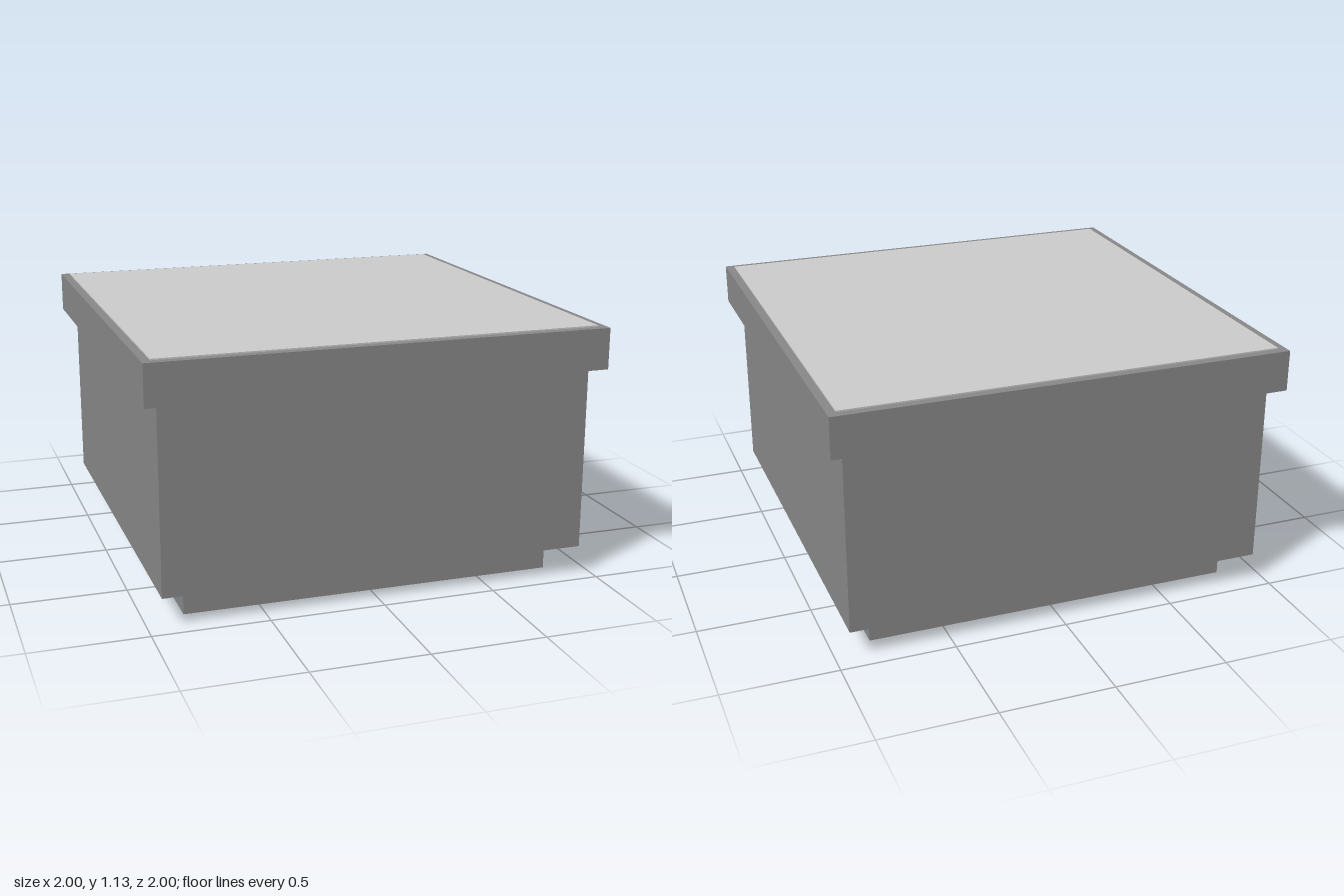
import * as THREE from 'three';

export function createModel() {
  const group = new THREE.Group();
  const dark = new THREE.MeshStandardMaterial({ color: 0x888888 });
  const light = new THREE.MeshStandardMaterial({ color: 0xcccccc });

  // Square slab between two heights
  function slab(name, width, bottom, top, material) {
    const mesh = new THREE.Mesh(new THREE.BoxGeometry(width, top - bottom, width), material);
    mesh.position.y = (bottom + top) / 2;
    mesh.name = name;
    group.add(mesh);
  }

  slab('plinth', 1.655, 0, 0.13, dark);
  slab('body', 1.88, 0.13, 0.945, dark);
  slab('rim', 2, 0.945, 1.125, dark);
  // Thin pale panel lying just proud of the rim
  slab('topPanel', 1.925, 1.125, 1.131, light);

  return group;
}
